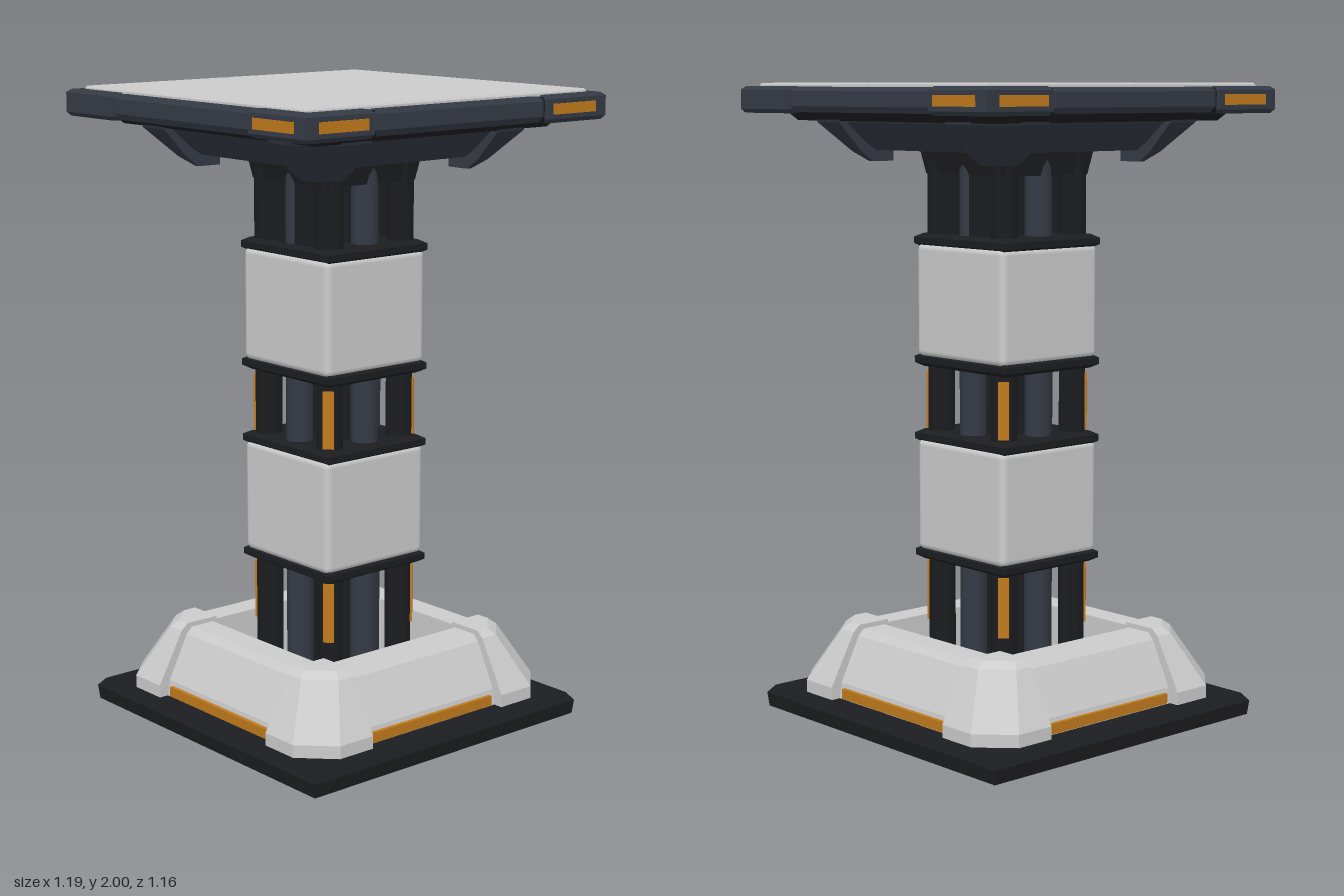
import * as THREE from 'three';
import { RoundedBoxGeometry } from 'three/addons/geometries/RoundedBoxGeometry.js';
import { ConvexGeometry } from 'three/addons/geometries/ConvexGeometry.js';

const grey = new THREE.MeshStandardMaterial({ color: 0xcccccc });
const dark = new THREE.MeshStandardMaterial({ color: 0x1c1d20 });
const steel = new THREE.MeshStandardMaterial({ color: 0x343a45 });
const amber = new THREE.MeshStandardMaterial({ color: 0xc07a1c });

export function createModel() {
  const model = new THREE.Group();
  const add = (name, geometry, material, x = 0, y = 0, z = 0, turn = 0) => {
    const mesh = new THREE.Mesh(geometry, material);
    mesh.name = name;
    mesh.position.set(x, y, z);
    mesh.rotation.y = turn;
    model.add(mesh);
    return mesh;
  };
  const hull = (points) => new ConvexGeometry(points.map((p) => new THREE.Vector3(...p)));

  // Chamfered block from levels of [y, half width, half depth]
  const stack = (levels) => hull(levels.flatMap(([y, w, d]) =>
    [[w, y, d], [-w, y, d], [w, y, -d], [-w, y, -d]]));

  // Corner shoe from levels of [y, outer reach, corner cut]
  const shoe = (inner, levels) => hull(levels.flatMap(([y, o, c]) =>
    [[inner, y, o], [o - c, y, o], [o, y, o - c], [o, y, inner], [inner, y, inner]]));

  // Sloped wall from levels of [y, outer z]
  const wall = (half, inner, levels) => hull(levels.flatMap(([y, o]) =>
    [[half, y, o], [-half, y, o], [half, y, inner], [-half, y, inner]]));

  const box = (w, h, d) => new THREE.BoxGeometry(w, h, d);

  // Base plate
  add('basePlate', stack([[0, 0.54, 0.55], [0.045, 0.545, 0.555], [0.07, 0.525, 0.535]]), dark);

  // Base walls and underside brackets, one set per quarter turn
  const baseShoe = shoe(0.27, [[0.06, 0.5, 0.1], [0.11, 0.5, 0.1], [0.275, 0.41, 0.08], [0.295, 0.385, 0.07]]);
  const baseWall = wall(0.275, 0.285, [[0.06, 0.47], [0.12, 0.46], [0.26, 0.39], [0.28, 0.37]]);
  const topShoe = shoe(0.25, [[1.92, 0.475, 0.1], [1.88, 0.46, 0.1], [1.79, 0.375, 0.08], [1.76, 0.33, 0.06]]);
  const topWall = wall(0.26, 0.25, [[1.92, 0.45], [1.88, 0.43], [1.82, 0.36], [1.795, 0.32]]);
  for (let i = 0; i < 4; i++) {
    const turn = i * Math.PI / 2;
    add('baseCorner', baseShoe, grey, 0, 0, 0, turn);
    add('baseWall', baseWall, grey, 0, 0, 0, turn);
    add('bracketCorner', topShoe, steel, 0, 0, 0, turn);
    add('bracketWall', topWall, steel, 0, 0, 0, turn);
    const strip = box(0.5, 0.032, 0.03);
    strip.translate(0, 0.09, 0.46);
    add('baseLight', strip, amber, 0, 0, 0, turn);
  }

  // Column core and rods
  add('core', new THREE.CylinderGeometry(0.11, 0.11, 1.86, 16), dark, 0, 0.99, 0);
  const rod = new THREE.CylinderGeometry(0.042, 0.042, 1.86, 16);
  for (const [x, z] of [[0.14, 0], [-0.14, 0], [0, 0.145], [0, -0.145]]) {
    add('middleRod', rod, steel, x, 0.99, z);
  }
  const post = new THREE.CylinderGeometry(0.044, 0.044, 1.86, 8);
  for (const sx of [1, -1]) {
    for (const sz of [1, -1]) {
      add('cornerPost', post, dark, sx * 0.143, 0.99, sz * 0.148, Math.PI / 8);
      // Amber inlays on the outward edge of each post
      for (const [low, high] of [[0.3, 0.49], [0.92, 1.1]]) {
        add('postLight', box(0.034, high - low, 0.012), amber,
          sx * 0.172, (low + high) / 2, sz * 0.177, sx * sz * Math.PI / 4);
      }
    }
    // Solid side panels of the neck
    add('neckPanel', box(0.03, 0.36, 0.35), dark, sx * 0.16, 1.7, 0);
  }
  add('neckFlare', stack([[1.72, 0.175, 0.18], [1.79, 0.19, 0.19], [1.91, 0.2, 0.2]]), dark);

  // Column blocks with a dark collar above and below
  for (const y of [0.705, 1.325]) {
    add('columnBlock', new RoundedBoxGeometry(0.4, 0.36, 0.41, 3, 0.022), grey, 0, y, 0);
    for (const s of [1, -1]) {
      add('collar', stack([[-0.022, 0.18, 0.19], [-0.01, 0.2, 0.212], [0.01, 0.2, 0.212], [0.022, 0.18, 0.19]]),
        dark, 0, y + s * 0.188, 0);
    }
  }

  // Table top: frame, corner caps and edge trims
  add('topUnderplate', stack([[1.885, 0.46, 0.46], [1.93, 0.5, 0.5]]), dark);
  add('topFrame', stack([[1.91, 0.565, 0.555], [1.925, 0.578, 0.565], [1.975, 0.578, 0.565], [1.985, 0.565, 0.555]]), dark);
  const cap = stack([[-0.042, 0.115, 0.115], [-0.03, 0.125, 0.125], [0.03, 0.125, 0.125], [0.04, 0.113, 0.113]]);
  for (const sx of [1, -1]) {
    for (const sz of [1, -1]) {
      add('cornerCap', cap, steel, sx * 0.467, 1.95, sz * 0.453);
      // Four tiles with a narrow seam between them
      add('topTile', stack([[1.96, 0.273, 0.266], [1.994, 0.273, 0.266], [2, 0.269, 0.262]]), grey,
        sx * 0.276, 0, sz * 0.269);
      // Lights near both ends of the front and back edges
      add('edgeLight', box(0.18, 0.032, 0.02), amber, sx * 0.455, 1.95, sz * 0.572);
    }
    add('sideTrim', stack([[1.912, 0.025, 0.32], [1.93, 0.035, 0.33], [1.975, 0.035, 0.33], [1.988, 0.025, 0.32]]),
      steel, sx * 0.55, 0, 0);
    add('endTrim', stack([[1.912, 0.32, 0.025], [1.93, 0.33, 0.035], [1.975, 0.33, 0.035], [1.988, 0.32, 0.025]]),
      steel, 0, 0, sx * 0.536);
    // One light on each side edge, at opposite ends
    add('sideLight', box(0.02, 0.032, 0.18), amber, sx * 0.586, 1.95, -sx * 0.44);
  }
  return model;
}
